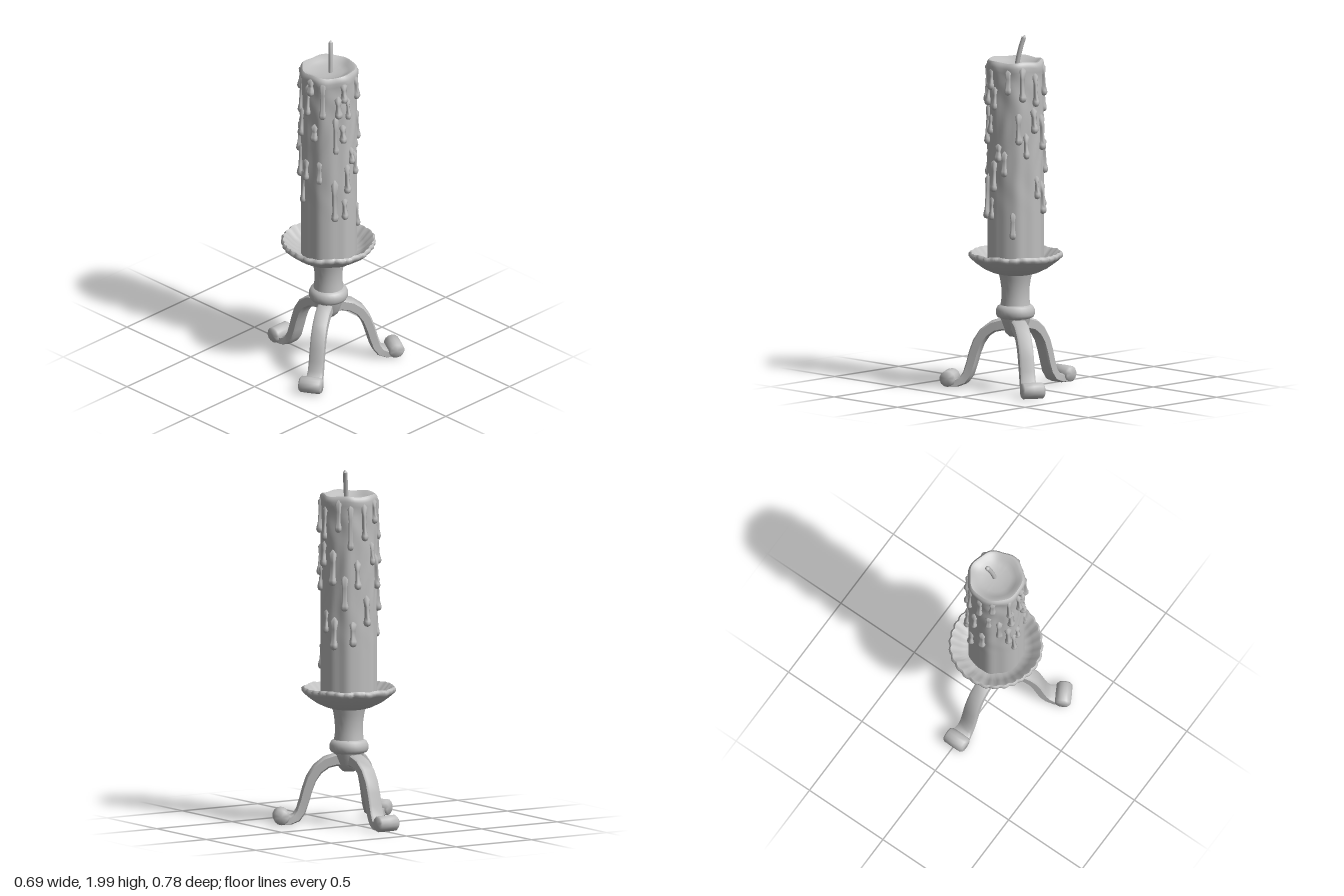
import * as THREE from 'three';
import { mergeVertices, toCreasedNormals } from 'three/addons/utils/BufferGeometryUtils.js';

const AXIS_X = 0.08; // the candle axis; the three legs make the footprint lopsided
const WAX_R = 0.155;
const rad = THREE.MathUtils.degToRad;

export function createModel() {
  const model = new THREE.Group();
  const body = new THREE.Group();
  body.name = 'candlestick';
  body.position.x = AXIS_X;
  model.add(body);
  const grey = new THREE.MeshStandardMaterial({ color: 0xbebebe });
  grey.name = 'plain grey';

  const add = (name, geometry, parent = body) => {
    const mesh = new THREE.Mesh(geometry, grey);
    mesh.name = name;
    parent.add(mesh);
    return mesh;
  };

  // Weld seams, then smooth everything except sharp edges
  const smooth = (geometry, crease = 0.9) => {
    geometry.deleteAttribute('uv');
    geometry.deleteAttribute('normal');
    return toCreasedNormals(mergeVertices(geometry, 1e-5), crease);
  };

  // Turned part; rule(angle, radius, y) returns [radius, y]
  const turned = (profile, segments, rule, crease) => {
    const g = new THREE.LatheGeometry(profile.map(([r, y]) => new THREE.Vector2(r, y)), segments);
    const p = g.attributes.position;
    for (let i = 0; rule && i < p.count; i++) {
      const x = p.getX(i), z = p.getZ(i), a = Math.atan2(z, x);
      const [r, y] = rule(a, Math.hypot(x, z), p.getY(i));
      p.setXYZ(i, r * Math.cos(a), y, r * Math.sin(a));
    }
    return smooth(g, crease);
  };

  // Stem with its collar, and the hub where the legs meet
  add('stem', turned([
    [0, 0.4], [0.075, 0.405], [0.1, 0.415], [0.108, 0.43], [0.108, 0.455], [0.098, 0.475], [0.083, 0.483],
    [0.078, 0.52], [0.079, 0.58], [0.086, 0.63], [0.096, 0.67], [0, 0.68],
  ], 28));
  add('hub', turned([
    [0, 0.302], [0.035, 0.306], [0.055, 0.325], [0.066, 0.35], [0.078, 0.385], [0.085, 0.412], [0, 0.415],
  ], 20));

  // Drip dish with a scalloped, hammered rim
  add('dripDish', turned([
    [0, 0.655], [0.09, 0.656], [0.13, 0.667], [0.18, 0.691], [0.222, 0.722], [0.247, 0.744], [0.259, 0.755],
    [0.26, 0.77], [0.25, 0.78], [0.238, 0.772], [0.205, 0.738], [0.175, 0.715], [0.14, 0.704], [0, 0.7],
  ], 150, (a, r, y) => {
    const k = THREE.MathUtils.smoothstep(r, 0.12, 0.25);
    const scallop = Math.abs(Math.sin(a * 14 + 0.5 * Math.sin(a * 3))) - 0.6;
    return [
      r + k * (0.008 * scallop + 0.002 * Math.sin(a * 5 + 1)),
      y + k * 0.003 * Math.sin(a * 9 + 2 * Math.sin(a * 2)),
    ];
  }));

  // Candle: lumpy wall, swollen lip and sunken top
  const wall = [[0, 0.695]];
  for (let i = 0; i <= 36; i++) wall.push([WAX_R, 0.695 + (1.78 - 0.695) * i / 36]);
  wall.push([0.158, 1.805], [0.16, 1.83], [0.156, 1.85], [0.146, 1.86], [0.132, 1.857],
    [0.112, 1.84], [0.08, 1.828], [0.04, 1.824], [0, 1.822]);
  add('candle', turned(wall, 64, (a, r, y) => {
    const edge = THREE.MathUtils.smoothstep(r, 0.09, 0.15);
    const melt = THREE.MathUtils.smoothstep(y, 0.95, 1.35);
    const ridges = 0.003 * Math.sin(a * 7 + 0.8) + 0.0015 * Math.sin(a * 12);
    const lumps = 0.0035 * Math.sin(a * 9 + 2 * Math.sin(y * 9)) * Math.sin(y * 17 + a * 3);
    const lip = y > 1.8 ? 0.004 * Math.sin(a * 5 + 1) * edge : 0;
    return [r + edge * (ridges + melt * lumps), y + lip];
  }));

  // Wax runs: [angle in degrees, top, bottom], angle 90 facing front
  const runs = [
    [117, 1.84, 1.6], [57, 1.84, 1.61], [84, 1.84, 1.74], [138, 1.52, 1.33], [119, 1.4, 1.2], [106, 1.26, 1.05],
    [97, 1.33, 1.2], [113, 1.64, 1.46], [180, 1.82, 1.61], [174, 1.3, 1.13], [160, 1.6, 1.47], [152, 1.84, 1.7],
    [12, 1.82, 1.7], [2, 1.72, 1.59], [14, 1.56, 1.45], [30, 1.62, 1.39], [-8, 1.4, 1.3], [4, 1.31, 1.13],
    [-22, 1.36, 1.22], [32, 1.22, 0.97], [-40, 1.02, 0.87], [10, 1.1, 0.97], [24, 1.74, 1.61], [92, 1.8, 1.61],
    [75, 1.56, 1.46], [64, 1.34, 1.2], [-90, 1.8, 1.61], [-86, 1.6, 1.46], [-94, 1.22, 1.09], [-60, 1.84, 1.64],
    [-68, 1.46, 1.32], [-52, 1.58, 1.4], [-112, 1.56, 1.36], [-125, 1.84, 1.66], [-138, 1.42, 1.22],
    [-150, 1.82, 1.56], [-165, 1.5, 1.34], [-115, 1.18, 1.0], [-30, 1.82, 1.68], [-155, 1.16, 1.02],
  ];
  const drips = new THREE.Group();
  drips.name = 'waxDrips';
  body.add(drips);
  runs.forEach(([deg, top, bottom], i) => {
    const len = top - bottom, s = 0.9 + 0.25 * ((i * 7) % 5) / 4;
    const g = turned([
      [0, 0], [0.013 * s, 0.005], [0.02 * s, 0.018], [0.019 * s, 0.032], [0.014 * s, 0.055],
      [0.013 * s, len * 0.65], [0.02 * s, len * 0.9], [0, len + 0.01],
    ], 10, null, 2);
    const drip = add('waxDrip', g, drips);
    const a = rad(deg);
    drip.position.set(Math.cos(a) * (WAX_R + 0.007), bottom, Math.sin(a) * (WAX_R + 0.007));
    drip.rotation.order = 'YXZ';
    drip.rotation.set(0, -a, Math.atan(0.012 / len));
  });

  // Bent wick
  const wickPath = new THREE.CatmullRomCurve3([
    [0.005, 1.81, -0.012], [-0.003, 1.88, -0.022], [-0.016, 1.95, -0.034], [-0.025, 1.985, -0.042],
  ].map(p => new THREE.Vector3(...p)));
  add('wick', new THREE.TubeGeometry(wickPath, 10, 0.013, 8));
  const tip = add('wickTip', smooth(new THREE.ConeGeometry(0.013, 0.018, 8)));
  tip.position.set(-0.027, 1.991, -0.044);
  tip.rotation.set(-0.2, 0, 0.25);

  // Leg: rounded bar swept along [reach, height, half thickness, half width]
  const stations = [
    [0, 0.368, 0.036, 0.04], [0.07, 0.372, 0.034, 0.041], [0.125, 0.356, 0.032, 0.041], [0.175, 0.318, 0.03, 0.041],
    [0.21, 0.265, 0.029, 0.041], [0.232, 0.205, 0.028, 0.041], [0.25, 0.14, 0.027, 0.041], [0.268, 0.085, 0.027, 0.042],
    [0.292, 0.05, 0.026, 0.045], [0.325, 0.036, 0.024, 0.052], [0.375, 0.036, 0.024, 0.058],
  ];
  const section = [[1, 0.72], [0.72, 1], [-0.72, 1], [-1, 0.72], [-1, -0.72], [-0.72, -1], [0.72, -1], [1, -0.72]];
  const N = section.length, pos = [], index = [];
  stations.forEach(([r, y, t, w], i) => {
    const a = stations[Math.max(i - 1, 0)], b = stations[Math.min(i + 1, stations.length - 1)];
    const d = Math.hypot(b[0] - a[0], b[1] - a[1]);
    const nx = -(b[1] - a[1]) / d, ny = (b[0] - a[0]) / d;
    section.forEach(([u, v]) => pos.push(r + nx * u * t, y + ny * u * t, v * w));
    for (let j = 0; i && j < N; j++) {
      const p = (i - 1) * N + j, q = (i - 1) * N + (j + 1) % N;
      index.push(p, q, p + N, q, q + N, p + N);
    }
  });
  const bar = new THREE.BufferGeometry();
  bar.setAttribute('position', new THREE.Float32BufferAttribute(pos, 3));
  bar.setIndex(index);
  const barGeometry = toCreasedNormals(bar, 0.8);

  // Scrolled foot: a short roll with softened ends
  const footGeometry = turned([
    [0, -0.064], [0.036, -0.064], [0.045, -0.054], [0.046, 0], [0.045, 0.054], [0.036, 0.064], [0, 0.064],
  ], 14);
  footGeometry.rotateX(Math.PI / 2);

  for (const deg of [60, 180, 300]) {
    const leg = new THREE.Group();
    leg.name = 'leg';
    leg.rotation.y = rad(deg);
    body.add(leg);
    add('legBar', barGeometry, leg);
    add('scrollFoot', footGeometry, leg).position.set(0.377, 0.056, 0);
  }

  // Settle the feet on the ground
  const box = new THREE.Box3().setFromObject(model);
  body.position.y -= box.min.y;
  return model;
}
